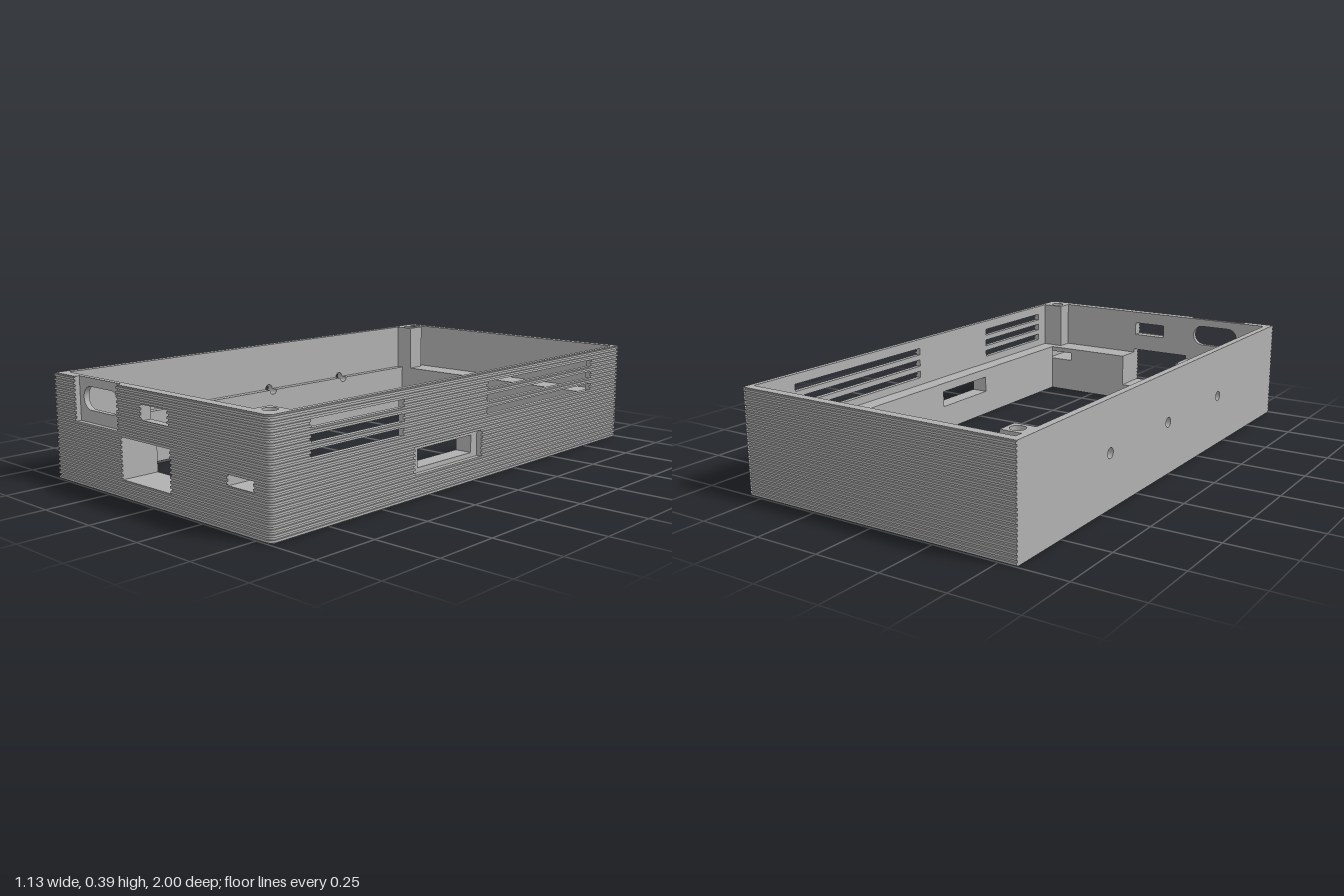
import * as THREE from 'three';
import { mergeGeometries } from 'three/addons/utils/BufferGeometryUtils.js';

const H = 0.39, BASE = 0.05, LEDGE = 0.2;   // total, floor plate and ledge heights
const XL = -0.565, XC = 0.541, ZC = 0.976;  // left face and rounded corner centres
const R_CORE = 0.018, R_RIB = 0.024;        // corner radius of the core and of the ribs

// Openings as [u0, u1, y0, y1]; u is x on the front wall and z on the side wall
const RECESS = [-0.44, -0.19, 0.23, H];
const PORT = [-0.175, 0.09, 0.065, 0.215];
const WINDOW = [-0.06, 0.083, 0.285, 0.34];
const SLOT = [0.37, 0.49, 0.145, 0.18];
const SIDE_RECESS = [-0.035, 0.34, 0.083, 0.18];
const SIDE_PORT = [0, 0.3, 0.1, 0.165];
const VENTS = [0.23, 0.278, 0.326].flatMap(y => [[-0.77, -0.065, y, y + 0.027], [0.4, 0.83, y, y + 0.027]]);
const PIN_Z = [-0.44, -0.01, 0.43], PIN_R = 0.019;

const flip = ([a, b, c, d]) => [-b, -a, c, d]; // z range to shape coordinate -z

function trace(path, points) {
  points.forEach(([x, y], i) => (i ? path.lineTo(x, y) : path.moveTo(x, y)));
  path.closePath();
  return path;
}
const corners = ([a, b, c, d]) => [[a, c], [b, c], [b, d], [a, d]];
const rectShape = r => trace(new THREE.Shape(), corners(r));
const rectHole = r => trace(new THREE.Path(), corners(r).reverse());
const circleHole = (x, y, r) => new THREE.Path().absarc(x, y, r, 0, Math.PI * 2, true);

function extrude(shape, holes, depth) {
  shape.holes.push(...holes);
  return new THREE.ExtrudeGeometry(shape, { depth, bevelEnabled: false, curveSegments: 20 });
}
// Plates standing across z, standing across x (shape u = -z), and lying flat (shape v = -z)
const plateZ = (s, h, z0, z1) => extrude(s, h, z1 - z0).translate(0, 0, z0);
const plateX = (s, h, x0, x1) => extrude(s, h, x1 - x0).rotateY(Math.PI / 2).translate(x0, 0, 0);
const plateY = (s, h, y0, y1) => extrude(s, h, y1 - y0).rotateX(-Math.PI / 2).translate(0, y0, 0);

function box(x0, x1, y0, y1, z0, z1) {
  return new THREE.BoxGeometry(x1 - x0, y1 - y0, z1 - z0)
    .translate((x0 + x1) / 2, (y0 + y1) / 2, (z0 + z1) / 2);
}
// Quarter cylinder on a right-hand corner; side is 1 for the front, -1 for the back
function corner(r, y0, y1, side) {
  return new THREE.CylinderGeometry(r, r, y1 - y0, 6, 1, false, side > 0 ? 0 : Math.PI / 2, Math.PI / 2)
    .translate(XC, (y0 + y1) / 2, side * ZC);
}
// Stretches of a..b at height y that miss every opening
function runs(a, b, y, openings) {
  const out = [];
  openings.filter(o => y > o[2] && y < o[3]).sort((p, q) => p[0] - q[0]).forEach(o => {
    out.push([a, o[0]]);
    a = o[1];
  });
  return [...out, [a, b]];
}

export function createModel() {
  const group = new THREE.Group();
  const grey = new THREE.MeshStandardMaterial({ color: 0xb0b0b0 });
  grey.name = 'grey plastic';
  const add = (name, geometry) => {
    const mesh = new THREE.Mesh(geometry, grey);
    mesh.name = name;
    group.add(mesh);
  };
  const zOut = ZC + R_CORE, xOut = XC + R_CORE;

  // Floor frame with rounded right corners and four blind screw holes
  const floor = new THREE.Shape();
  floor.moveTo(XL, -zOut);
  floor.lineTo(XC, -zOut);
  floor.absarc(XC, -ZC, R_CORE, -Math.PI / 2, 0, false);
  floor.absarc(XC, ZC, R_CORE, 0, Math.PI / 2, false);
  floor.lineTo(XL, zOut);
  floor.closePath();
  const screws = [[-0.3, 0.948], [0.2, 0.948], [-0.3, -0.948], [0.2, -0.948]];
  add('floorFrame', plateY(floor, [rectHole([-0.51, 0.473, -0.85, 0.85]),
    ...screws.map(([x, v]) => circleHole(x, v, 0.024))], 0, BASE));

  // Front wall: inner layer has the oval, outer layer has the open recess around it
  const through = () => [PORT, WINDOW, SLOT].map(rectHole);
  const oval = new THREE.Path();
  oval.absarc(-0.374, 0.317, 0.042, -Math.PI / 2, Math.PI / 2, true);
  oval.absarc(-0.253, 0.317, 0.042, Math.PI / 2, -Math.PI / 2, true);
  oval.closePath();
  add('frontWallInner', plateZ(rectShape([XL, XC, BASE, H]), [...through(), oval], 0.955, 0.976));
  const notched = trace(new THREE.Shape(), [[XL, BASE], [XC, BASE], [XC, H], [RECESS[1], H],
    [RECESS[1], RECESS[2]], [RECESS[0], RECESS[2]], [RECESS[0], H], [XL, H]]);
  add('frontWallOuter', plateZ(notched, through(), 0.976, zOut));

  // Back, left and right walls
  add('backWall', box(XL, XC, BASE, H, -zOut, -0.96));
  add('leftWall', plateX(rectShape([-0.955, 0.96, BASE, H]),
    PIN_Z.map(z => circleHole(-z, LEDGE, PIN_R)), XL, -0.538));
  add('rightWall', plateX(rectShape([-ZC, ZC, BASE, H]),
    [SIDE_RECESS, ...VENTS].map(o => rectHole(flip(o))), 0.54, xOut));
  [1, -1].forEach(s => add(s > 0 ? 'frontCorner' : 'backCorner', corner(R_CORE, BASE, H, s)));

  // Inner ledges
  add('frontLedge', plateZ(trace(new THREE.Shape(), [[-0.538, BASE], [0.54, BASE], [0.54, LEDGE],
    [PORT[1], LEDGE], [PORT[1], PORT[2]], [PORT[0], PORT[2]], [PORT[0], LEDGE], [-0.538, LEDGE]]),
    [rectHole(SLOT)], 0.85, 0.955));
  add('backLedge', box(-0.538, 0.54, BASE, LEDGE, -0.96, -0.85));
  add('rightLedge', plateX(rectShape([-0.85, 0.85, BASE, LEDGE]), [rectHole(flip(SIDE_PORT))], 0.473, 0.54));
  const leftLedge = new THREE.Shape();
  leftLedge.moveTo(-0.85, BASE);
  leftLedge.lineTo(0.85, BASE);
  leftLedge.lineTo(0.85, LEDGE);
  PIN_Z.forEach(z => leftLedge.absarc(-z, LEDGE, PIN_R, 0, -Math.PI, true));
  leftLedge.lineTo(-0.85, LEDGE);
  leftLedge.closePath();
  add('leftLedge', plateX(leftLedge, [], -0.538, -0.51));

  // Screw posts in two opposite corners
  add('backScrewPost', plateY(rectShape([-0.54, -0.46, 0.85, 0.93]), [circleHole(-0.499, 0.89, 0.026)], LEDGE, H));
  add('frontScrewPost', plateY(rectShape([0.45, 0.54, -0.955, -0.89]), [circleHole(0.493, -0.929, 0.025)], LEDGE, H));

  // Grip ribs round the front, right and back
  const ribs = [], count = 24, pitch = H / count;
  const zRib = ZC + R_RIB, xRib = XC + R_RIB;
  for (let i = 0; i < count; i++) {
    const y = (i + 0.5) * pitch, y0 = y - pitch / 4, y1 = y + pitch / 4;
    runs(XL, XC, y, [RECESS, PORT, WINDOW, SLOT]).forEach(([a, b]) => ribs.push(box(a, b, y0, y1, zOut, zRib)));
    runs(-ZC, ZC, y, [SIDE_RECESS, ...VENTS]).forEach(([a, b]) => ribs.push(box(xOut, xRib, y0, y1, a, b)));
    ribs.push(box(XL, XC, y0, y1, -zRib, -zOut));
    ribs.push(corner(R_RIB, y0, y1, 1), corner(R_RIB, y0, y1, -1));
  }
  add('gripRibs', mergeGeometries(ribs));
  return group;
}
